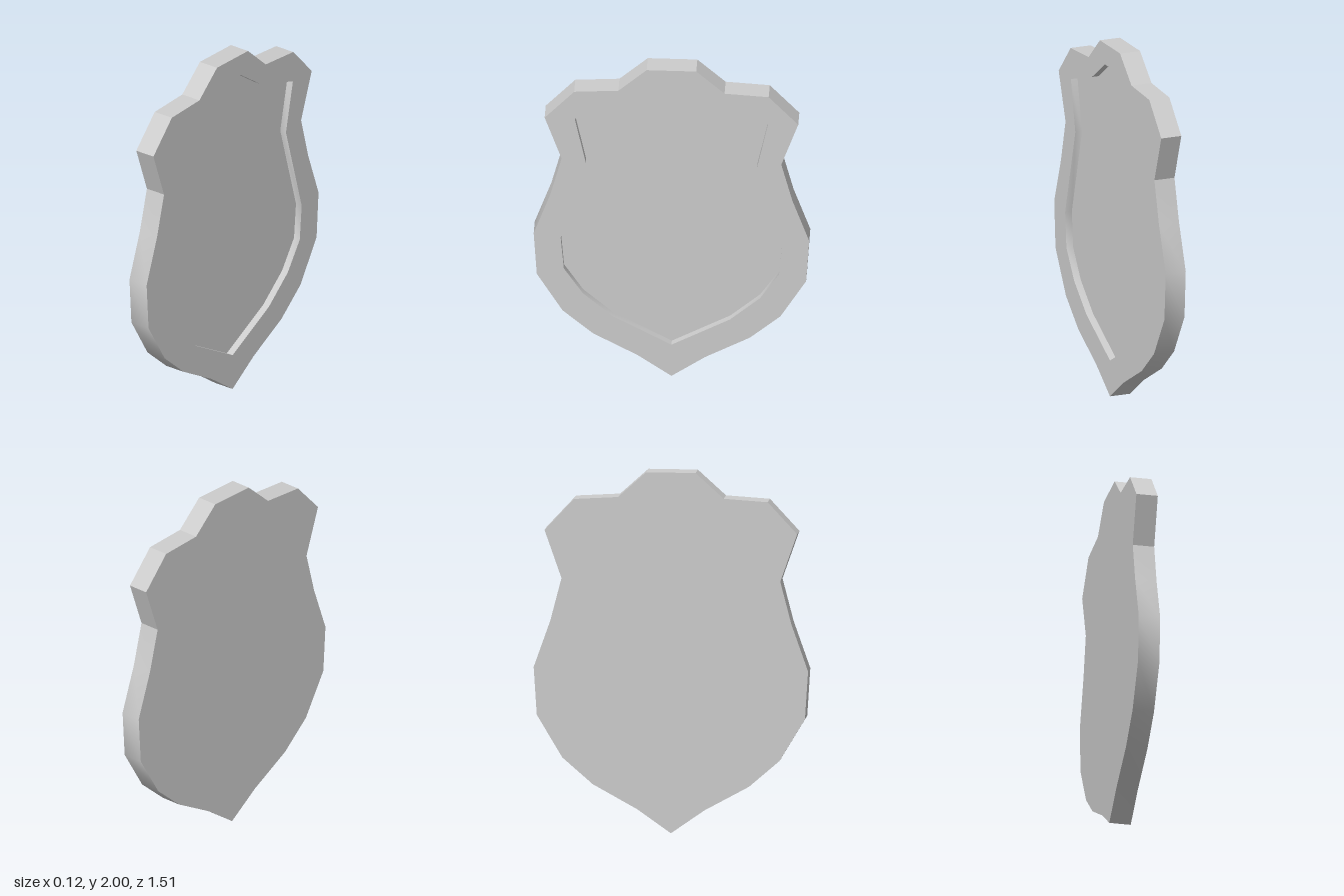
import * as THREE from 'three';
import { toCreasedNormals } from 'three/addons/utils/BufferGeometryUtils.js';

const BACK = -0.06, FLOOR = 0.02, FACE = 0.06;

// Right half of each outline, from the bottom tip upwards
const OUTER = [[0, 0], [0.185, 0.13], [0.43, 0.265], [0.597, 0.41], [0.738, 0.645], [0.755, 0.91],
  [0.663, 1.17], [0.602, 1.405], [0.695, 1.67], [0.533, 1.845], [0.291, 1.86], [0.136, 2]];
const INNER = [[0, 0.205], [0.32, 0.38], [0.485, 0.525], [0.59, 0.685], [0.607, 0.885],
  [0.469, 1.38], [0.53, 1.668], [0.243, 1.76], [0.07, 1.88]];

// Closed counter-clockwise loop from a half outline
function mirrored(half) {
  const left = half.slice(1).reverse().map(([s, t]) => [-s, t]);
  return [...half, ...left].map(([s, t]) => new THREE.Vector2(s, t));
}

// Straight wall along a closed loop; a reversed loop faces inwards
function wall(loop, d0, d1) {
  const pos = [];
  loop.forEach((a, i) => {
    const b = loop[(i + 1) % loop.length];
    pos.push(a.x, a.y, d0, b.x, b.y, d0, b.x, b.y, d1);
    pos.push(a.x, a.y, d0, b.x, b.y, d1, a.x, a.y, d1);
  });
  const geo = new THREE.BufferGeometry();
  geo.setAttribute('position', new THREE.Float32BufferAttribute(pos, 3));
  return toCreasedNormals(geo, 0.55);
}

export function createModel() {
  const group = new THREE.Group();
  group.name = 'shield';
  const material = new THREE.MeshStandardMaterial({ color: 0xcccccc });
  const outer = mirrored(OUTER), inner = mirrored(INNER);

  // Parts are drawn facing +z, then turned to face +x
  const add = (name, geo) => {
    const mesh = new THREE.Mesh(geo.rotateY(Math.PI / 2), material);
    mesh.name = name;
    group.add(mesh);
  };

  // Flat back and outer edge
  add('back', new THREE.ShapeGeometry(new THREE.Shape(outer)).rotateY(Math.PI).translate(0, 0, BACK));
  add('outerEdge', wall(outer, BACK, FACE));

  // Raised rim around the recessed panel
  const rim = new THREE.Shape(outer);
  rim.holes.push(new THREE.Path(inner));
  add('rim', new THREE.ShapeGeometry(rim).translate(0, 0, FACE));
  add('recessEdge', wall([...inner].reverse(), FLOOR, FACE));
  add('recessedPanel', new THREE.ShapeGeometry(new THREE.Shape(inner)).translate(0, 0, FLOOR));

  return group;
}
